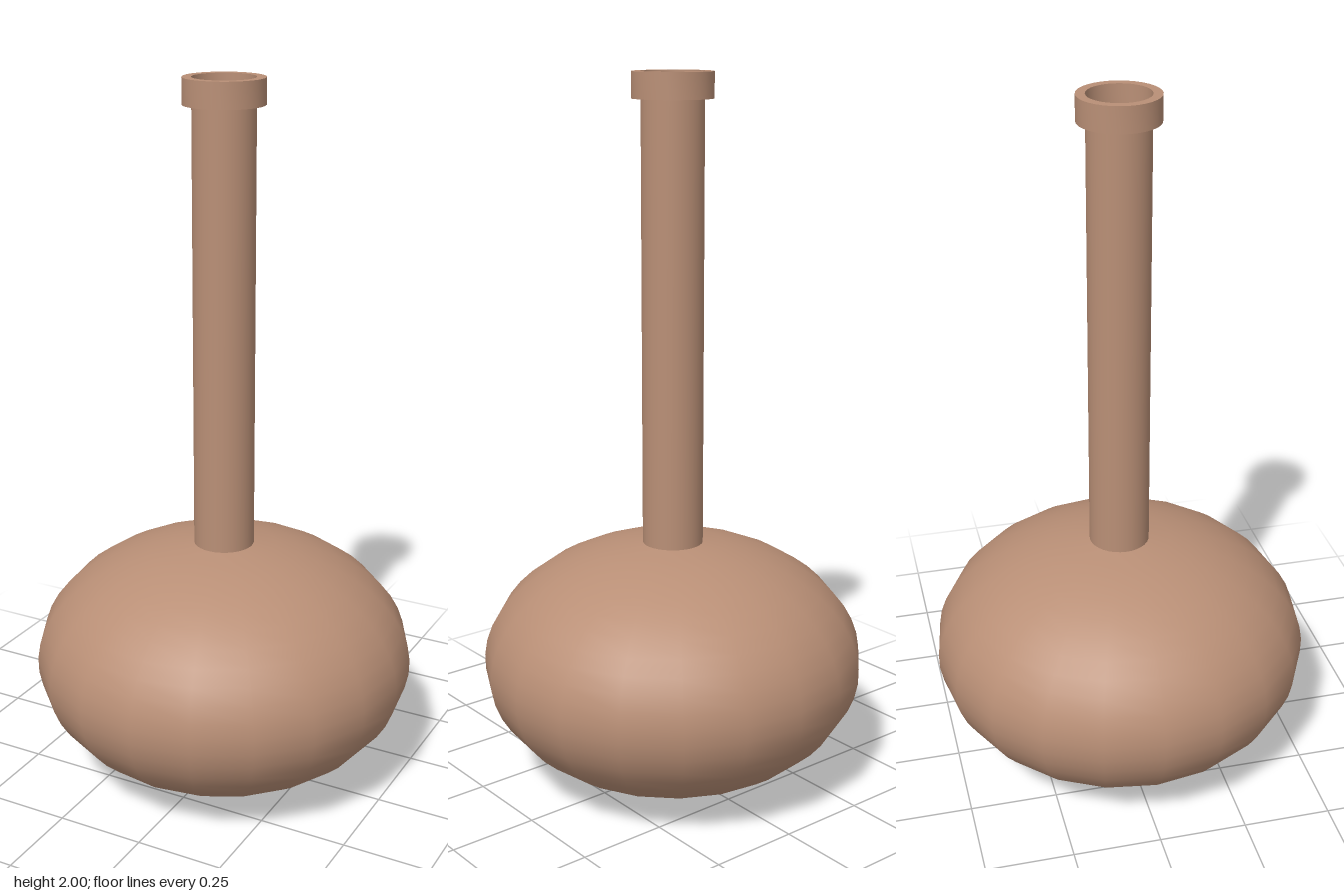
import * as THREE from 'three';
import { toCreasedNormals } from 'three/addons/utils/BufferGeometryUtils.js';

export function createModel() {
  const group = new THREE.Group();
  const material = new THREE.MeshStandardMaterial({ color: 0xb98f76, side: THREE.DoubleSide });
  const add = (name, geometry) => {
    const mesh = new THREE.Mesh(geometry, material);
    mesh.name = name;
    group.add(mesh);
  };

  const bodyRadius = 0.54, halfHeight = 0.355;
  const neckRadius = 0.085, collarRadius = 0.11, collarBottom = 1.93, top = 2;

  // Squashed hollow bulb, left open where the neck begins
  const profile = [];
  const steps = 24, end = Math.PI - Math.asin(neckRadius / bodyRadius);
  for (let i = 0; i <= steps; i++) {
    const a = (end * i) / steps;
    profile.push(new THREE.Vector2(bodyRadius * Math.sin(a), halfHeight * (1 - Math.cos(a))));
  }
  const neckBottom = profile[steps].y - 0.01;
  add('body', new THREE.LatheGeometry(profile, 20));

  // Long open neck tube
  const neck = new THREE.CylinderGeometry(neckRadius, neckRadius, collarBottom - neckBottom, 32, 1, true);
  neck.translate(0, (collarBottom + neckBottom) / 2, 0);
  add('neck', neck);

  // Raised collar around the mouth
  const ring = [
    [neckRadius, collarBottom], [collarRadius, collarBottom],
    [collarRadius, top], [neckRadius, top], [neckRadius, collarBottom],
  ].map(([r, y]) => new THREE.Vector2(r, y));
  add('collar', toCreasedNormals(new THREE.LatheGeometry(ring, 32), 0.6));

  return group;
}
